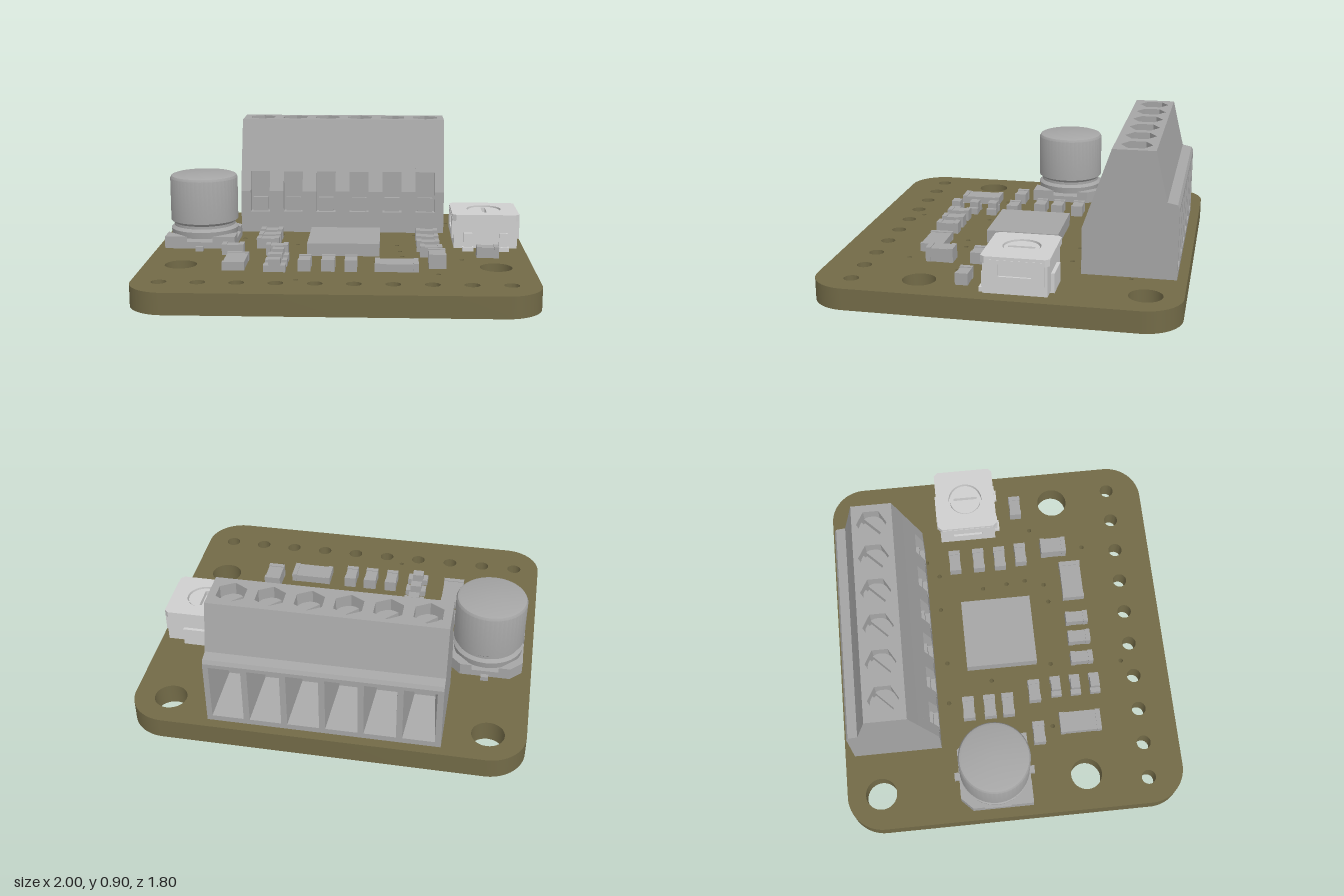
import * as THREE from 'three';
import { toCreasedNormals } from 'three/addons/utils/BufferGeometryUtils.js';

export function createModel() {
  const model = new THREE.Group();
  const mat = (name, color, side = THREE.FrontSide) => {
    const m = new THREE.MeshStandardMaterial({ color, side });
    m.name = name;
    return m;
  };
  const olive = mat('olive board', 0x726a47);
  const grey = mat('component grey', 0xa5a5a5);
  const greyInside = grey;
  const pale = mat('pale metal', 0xcfcfcf);

  const add = (name, geo, material, x = 0, y = 0, z = 0, parent = model) => {
    const mesh = new THREE.Mesh(geo, material);
    mesh.name = name;
    mesh.position.set(x, y, z);
    parent.add(mesh);
    return mesh;
  };
  // box given by centre x/z, bottom y and size
  const box = (name, x, z, w, d, y0, y1, material = grey, parent = model) =>
    add(name, new THREE.BoxGeometry(w, y1 - y0, d), material, x, (y0 + y1) / 2, z, parent);
  const group = (name) => {
    const g = new THREE.Group();
    g.name = name;
    model.add(g);
    return g;
  };
  const polygon = (pts) => new THREE.Shape(pts.map(([x, y]) => new THREE.Vector2(x, y)));
  const circleHole = (x, z, r) => new THREE.Path().absarc(x, -z, r, 0, Math.PI * 2, true);
  // plan shape (x, -z) raised upward
  const raise = (shape, depth, curveSegments = 16) =>
    new THREE.ExtrudeGeometry(shape, { depth, bevelEnabled: false, curveSegments }).rotateX(-Math.PI / 2);
  const creased = (geo) => toCreasedNormals(geo, 0.5);

  // Circuit board with rounded corners and drilled holes
  const W = 1, D = 0.9, R = 0.19;
  const board = new THREE.Shape();
  board.absarc(W - R, D - R, R, 0, Math.PI / 2);
  board.absarc(-W + R, D - R, R, Math.PI / 2, Math.PI);
  board.absarc(-W + R, -D + R, R, Math.PI, Math.PI * 1.5);
  board.absarc(W - R, -D + R, R, Math.PI * 1.5, Math.PI * 2);
  for (const x of [-0.81, 0.81]) for (const z of [-0.72, 0.38]) board.holes.push(circleHole(x, z, 0.083));
  for (let i = 0; i < 10; i++) board.holes.push(circleHole(-0.86 + i * 0.1905, 0.71, 0.038));
  const vias = [[-0.55, -0.21], [-0.55, -0.1], [-0.55, 0], [-0.345, -0.32], [-0.115, -0.31], [0.205, -0.32],
    [0.41, -0.31], [0.5, -0.375], [0.605, -0.63], [-0.24, -0.075], [0.31, -0.07], [0.325, 0.065], [0.335, 0.17],
    [0.195, 0.29], [0.3, 0.275], [-0.175, 0.26], [-0.53, 0.23], [-0.195, 0.65], [0.51, 0.52], [0.645, 0.23]];
  for (const [x, z] of vias) board.holes.push(circleHole(x, z, 0.012));
  add('circuitBoard', creased(raise(board, 0.11)), olive, 0, 0.15, 0);

  // Terminal block: side profiles extruded across x, notched at each cell
  const block = group('terminalBlock');
  const profile = (front, back) => polygon([
    [-0.85, 0.26], [-0.38, 0.26],
    ...(front ? [[-0.38, 0.38], [-0.43, 0.38], [-0.43, 0.61], [-0.418, 0.61]] : [[-0.38, 0.5]]),
    [-0.47, 0.76], [-0.763, 0.76], [-0.79, 0.65], [-0.84, 0.64], [-0.85, 0.62],
    ...(back ? [[-0.85, 0.6], [-0.6, 0.6], [-0.6, 0.29], [-0.85, 0.29]] : []),
  ]);
  const slice = (name, x0, x1, front, back) => {
    const geo = new THREE.ExtrudeGeometry(profile(front, back), { depth: x1 - x0, bevelEnabled: false });
    add(name, geo.rotateY(-Math.PI / 2), grey, x1, 0, 0, block);
  };
  // tapered wire entry, a four-sided loft facing inward
  const funnel = () => {
    const ring = (w, y0, y1, z) => [[-w, y0, z], [w, y0, z], [w, y1, z], [-w, y1, z]];
    const a = ring(0.08, 0.29, 0.6, -0.85), b = ring(0.052, 0.37, 0.54, -0.61);
    const pos = [];
    for (let i = 0; i < 4; i++) {
      const j = (i + 1) % 4;
      pos.push(...a[i], ...b[j], ...a[j], ...a[i], ...b[i], ...b[j]);
    }
    const geo = new THREE.BufferGeometry();
    geo.setAttribute('position', new THREE.Float32BufferAttribute(pos, 3));
    geo.computeVertexNormals();
    return geo;
  };
  // split screw head: two half discs either side of the slot
  const screwHalf = () => raise(new THREE.Shape().absarc(0, 0, 0.07, 0.16, Math.PI - 0.16), 0.05, 10);
  // lid with hexagonal wells, its long edges splayed to meet the body
  const lid = polygon([[-0.59, 0.518], [0.58, 0.518], [0.58, 0.73], [-0.59, 0.73]]);
  let wallStart = -0.59;
  for (let i = 0; i < 6; i++) {
    const x = -0.48 + i * 0.1905;
    slice('blockWall', wallStart, x - 0.08, false, false);
    slice('cellSide', x - 0.08, x - 0.055, false, true);
    slice('cellMiddle', x - 0.055, x + 0.055, true, true);
    slice('cellSide', x + 0.055, x + 0.08, false, true);
    wallStart = x + 0.08;
    add('wireEntry', funnel(), greyInside, x, 0, 0, block);
    box('slotStep', x, -0.418, 0.085, 0.024, 0.38, 0.46, grey, block);
    const hex = [];
    for (let k = 0; k < 6; k++) {
      const t = -k * Math.PI / 3 + Math.PI / 6;
      hex.push(new THREE.Vector2(x + 0.079 * Math.cos(t), 0.627 + 0.079 * Math.sin(t)));
    }
    lid.holes.push(new THREE.Path(hex));
    for (const turn of [0, Math.PI])
      add('screwHead', screwHalf(), grey, x, 0.79, -0.627, block).rotation.y = Math.PI / 4 + turn;
    add('screwCore', new THREE.CylinderGeometry(0.07, 0.07, 0.04, 20), grey, x, 0.775, -0.627, block);
    // solder pin, tapering downward
    const pin = new THREE.CylinderGeometry(0.032 * Math.SQRT2, 0.018 * Math.SQRT2, 0.16, 4);
    pin.rotateY(Math.PI / 4).scale(1, 1, 0.65);
    add('pin', pin.toNonIndexed(), grey, x, 0.08, -0.617, block).geometry.computeVertexNormals();
  }
  slice('blockWall', wallStart, 0.58, false, false);
  const lidGeo = raise(lid, 0.14);
  const p = lidGeo.attributes.position;
  for (let i = 0; i < p.count; i++) {
    if (p.getY(i) > 0.01) continue;
    const z = p.getZ(i);
    if (z > -0.53) p.setZ(i, -0.47);
    else if (z < -0.72) p.setZ(i, -0.763);
  }
  lidGeo.computeVertexNormals();
  add('blockTop', lidGeo, grey, 0, 0.76, 0, block);

  // Round capacitor on a chamfered base
  const capacitor = group('capacitor');
  const can = [[0, 0.32], [0.18, 0.32], [0.185, 0.355], [0.168, 0.37], [0.168, 0.385], [0.185, 0.4],
    [0.185, 0.632], [0.178, 0.645], [0.165, 0.65], [0, 0.65]].map(([r, y]) => new THREE.Vector2(r, y));
  add('can', creased(new THREE.LatheGeometry(can, 48)), grey, -0.76, 0, -0.11, capacitor);
  const base = polygon([[-0.19, -0.19], [0.19, -0.19], [0.19, 0.13], [0.13, 0.19], [-0.13, 0.19], [-0.19, 0.13]]);
  add('base', raise(base, 0.035), grey, -0.76, 0.27, -0.11, capacitor);
  for (const sx of [-1, 1]) {
    const front = polygon([[0.19 * sx, -0.19], [0.19 * sx, -0.07], [0.07 * sx, -0.19]]);
    const back = polygon([[0.19 * sx, 0.07], [0.19 * sx, 0.13], [0.13 * sx, 0.19], [0.07 * sx, 0.19]]);
    for (const s of [front, back]) add('baseCorner', raise(s, 0.03), grey, -0.76, 0.305, -0.11, capacitor);
  }
  for (const z of [-0.31, 0.09]) box('lead', -0.76, z, 0.04, 0.03, 0.26, 0.285, grey, capacitor);

  // Adjustable trimmer with a slotted dial
  const trimmer = group('trimmer');
  const tx = 0.785, tz = -0.125;
  box('body', tx, tz, 0.34, 0.31, 0.275, 0.425, pale, trimmer);
  const cover = polygon([[-0.18, -0.145], [-0.16, -0.165], [0.16, -0.165], [0.18, -0.145],
    [0.18, 0.145], [0.16, 0.165], [-0.16, 0.165], [-0.18, 0.145]]);
  cover.holes.push(circleHole(0, 0, 0.093));
  add('cover', creased(raise(cover, 0.035)), pale, tx, 0.425, tz, trimmer);
  const dial = new THREE.Shape().absarc(0, 0, 0.086, 0, Math.PI * 2);
  dial.holes.push(polygon([[-0.012, -0.065], [-0.012, 0.065], [0.012, 0.065], [0.012, -0.065]]));
  add('dial', creased(raise(dial, 0.028)), pale, tx, 0.425, tz, trimmer);
  for (const x of [-0.095, 0.095]) {
    box('frontLeg', tx + x, 0.038, 0.045, 0.02, 0.265, 0.36, pale, trimmer);
    box('frontFoot', tx + x, 0.042, 0.06, 0.035, 0.262, 0.285, pale, trimmer);
  }
  box('backLeg', tx, -0.285, 0.16, 0.025, 0.262, 0.36, pale, trimmer);
  // raised frames on both sides
  const frame = polygon([[-0.14, 0.325], [0.14, 0.325], [0.14, 0.445], [-0.14, 0.445]]);
  frame.holes.push(polygon([[-0.08, 0.365], [-0.08, 0.43], [0.08, 0.43], [0.08, 0.365]]));
  for (const x of [tx + 0.182, tx - 0.168])
    add('sideFrame', new THREE.ExtrudeGeometry(frame, { depth: 0.014, bevelEnabled: false }).rotateY(-Math.PI / 2),
      pale, x, 0, tz, trimmer);

  // Main chip
  box('mainChip', 0.022, -0.01, 0.385, 0.385, 0.262, 0.33);

  // Small surface parts: x, z, width, depth, top
  const parts = [
    [-0.395, -0.215, 0.12, 0.06, 0.32], [-0.395, -0.1, 0.12, 0.06, 0.32], [-0.395, 0, 0.12, 0.06, 0.32],
    [0.475, -0.215, 0.12, 0.06, 0.32], [0.475, -0.08, 0.12, 0.06, 0.32], [0.475, 0.04, 0.12, 0.06, 0.32],
    [0.487, 0.16, 0.115, 0.06, 0.32], [-0.568, 0.15, 0.115, 0.06, 0.32], [-0.332, 0.15, 0.115, 0.06, 0.32],
    [0.785, 0.16, 0.115, 0.06, 0.32], [-0.165, 0.432, 0.06, 0.12, 0.32], [-0.045, 0.432, 0.065, 0.12, 0.32],
    [0.07, 0.432, 0.06, 0.12, 0.32], [0.302, 0.432, 0.22, 0.115, 0.305], [-0.525, 0.38, 0.11, 0.22, 0.305],
    [0.51, 0.35, 0.085, 0.14, 0.335]];
  for (const [x, z, w, d, top] of parts) {
    box('smallPart', x, z, w, d, 0.26, top - 0.004);
    // raised end caps
    const long = w > d;
    for (const s of [-1, 1])
      box('endCap', x + (long ? s * (w / 2 - 0.012) : 0), z + (long ? 0 : s * (d / 2 - 0.012)),
        long ? 0.026 : w + 0.004, long ? d + 0.004 : 0.026, 0.26, top);
  }
  // three indicators with low end terminals
  for (const z of [0.27, 0.377, 0.484]) {
    box('indicator', -0.315, z, 0.06, 0.05, 0.26, 0.325);
    for (const s of [-1, 1]) box('indicatorEnd', -0.315 + s * 0.042, z, 0.028, 0.056, 0.26, 0.295);
  }
  return model;
}
